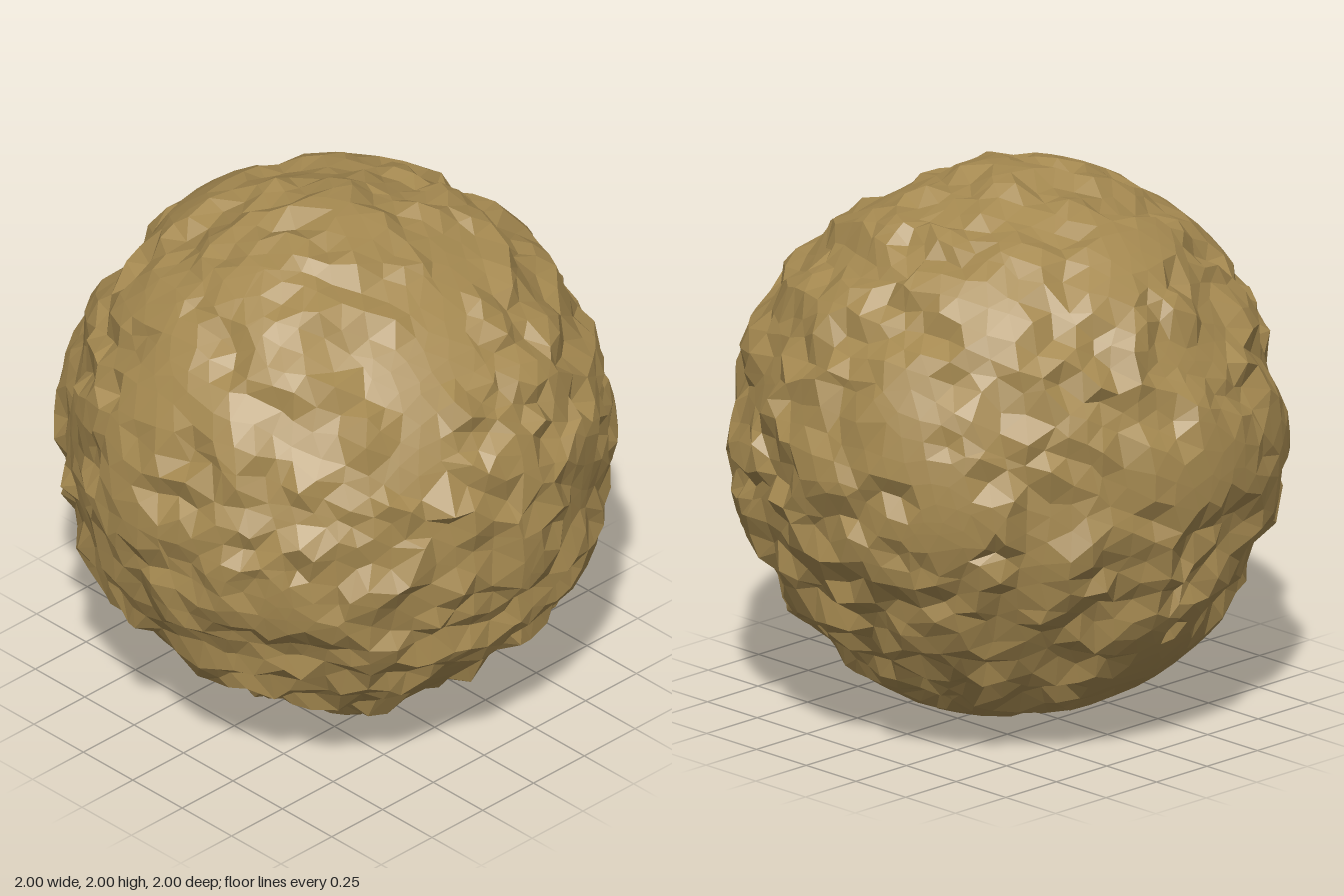
import * as THREE from 'three';

// Seeded hash of a lattice point, 0..1
function hash(x, y, z, seed) {
  let h = Math.imul(x, 374761393) ^ Math.imul(y, 668265263) ^ Math.imul(z, 2147483647) ^ Math.imul(seed, 1274126177);
  h = Math.imul(h ^ (h >>> 13), 1103515245);
  h = Math.imul(h ^ (h >>> 16), 2246822519);
  return ((h ^ (h >>> 15)) >>> 0) / 4294967296;
}

// Smooth value noise, 0..1
function noise(x, y, z, seed) {
  const ix = Math.floor(x), iy = Math.floor(y), iz = Math.floor(z);
  const ease = (t) => t * t * (3 - 2 * t);
  const u = ease(x - ix), v = ease(y - iy), w = ease(z - iz);
  let sum = 0;
  for (let i = 0; i < 2; i++)
    for (let j = 0; j < 2; j++)
      for (let k = 0; k < 2; k++)
        sum += (i ? u : 1 - u) * (j ? v : 1 - v) * (k ? w : 1 - w) * hash(ix + i, iy + j, iz + k, seed);
  return sum;
}

// Broad swells (+) and worn hollows (-): direction, strength, tightness
const swells = [
  [0, 1, 0, 0.5, 120], [0, -1, 0, 0.5, 120],
  [1, 0, 0, 0.4, 100], [-1, 0.05, 0, 0.5, 120],
  [0, 0, 1, 0.4, 100], [0, 0.1, -1, 0.5, 60],
  [0, 0.75, -0.65, 0.35, 50], [0, -0.7, -0.7, 0.4, 25],
  [0.85, 0, -0.5, 0.35, 40], [0.5, -0.85, 0, 0.35, 60],
  [0, 0.4, 0.92, 0.25, 60], [-0.5, 0, -0.85, 0.3, 60],
  [-0.6, -0.75, 0, -0.3, 30], [0, -0.72, 0.65, -0.25, 30],
  [-0.82, 0, -0.5, -0.3, 50], [0.9, 0.3, 0, -0.3, 80],
  [-0.3, 0.55, 0.75, -0.25, 15], [0, 0.92, -0.32, -0.3, 100],
].map(([x, y, z, strength, tightness]) => ({ dir: new THREE.Vector3(x, y, z).normalize(), strength, tightness }));

// Worn rock: outer crust broken by shallow chips that run level around it
function rockRadius(d) {
  const broad = noise(d.x * 2.5 + 9, d.y * 2.5 + 9, d.z * 2.5 + 9, 1);
  const chips = noise(d.x * 6 + 20, d.y * 13 + 20, d.z * 6 + 20, 2);
  const grit = noise(d.x * 11 + 40, d.y * 17 + 40, d.z * 11 + 40, 3);
  let level = broad * 0.25 + chips * 0.65 + grit * 0.6;
  for (const s of swells) level += s.strength * Math.exp(-s.tightness * (1 - d.dot(s.dir)));
  return 0.947 + 0.053 * THREE.MathUtils.smoothstep(level, 0.58, 0.9);
}

function rockGeometry() {
  const geometry = new THREE.IcosahedronGeometry(1, 13);
  const pos = geometry.attributes.position;
  const d = new THREE.Vector3();
  const shift = new THREE.Vector3();
  for (let i = 0; i < pos.count; i++) {
    d.fromBufferAttribute(pos, i).normalize();
    // slide points along the surface for irregular facets
    const jitter = (seed) => (noise(d.x * 11 + 50, d.y * 11 + 50, d.z * 11 + 50, seed) - 0.5) * 0.09;
    shift.set(jitter(4), jitter(5), jitter(6));
    d.add(shift).normalize();
    d.multiplyScalar(rockRadius(d));
    pos.setXYZ(i, d.x, d.y, d.z);
  }
  geometry.translate(0, 1, 0);
  geometry.computeVertexNormals();
  return geometry;
}

export function createModel() {
  const model = new THREE.Group();
  model.name = 'roundBoulder';
  const stone = new THREE.MeshStandardMaterial({ color: 0xa58950, flatShading: true });
  stone.name = 'ochre stone';
  const rock = new THREE.Mesh(rockGeometry(), stone);
  rock.name = 'boulder';
  model.add(rock);
  return model;
}
